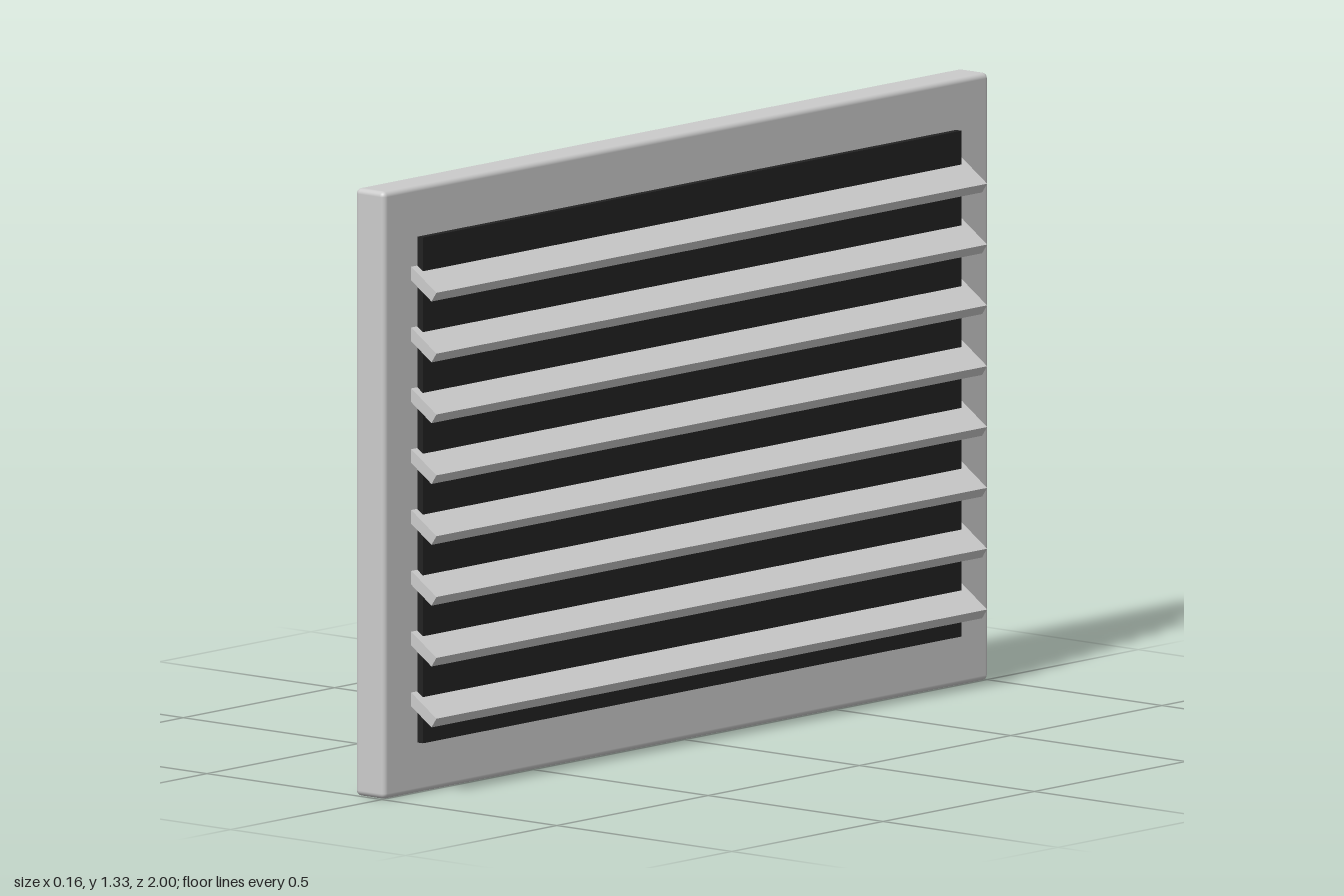
import * as THREE from 'three';
import { RoundedBoxGeometry } from 'three/addons/geometries/RoundedBoxGeometry.js';

export function createModel() {
  const group = new THREE.Group();
  const grey = new THREE.MeshStandardMaterial({ color: 0xcccccc });
  const dark = new THREE.MeshStandardMaterial({ color: 0x222222 });

  const add = (name, geometry, material, x, y) => {
    const mesh = new THREE.Mesh(geometry, material);
    mesh.name = name;
    mesh.position.set(x, y, 0);
    group.add(mesh);
    return mesh;
  };

  // Solid plate with softly rounded edges
  const height = 1.333;
  add('frame', new RoundedBoxGeometry(0.084, height, 2, 3, 0.012), grey, -0.036, height / 2);

  // Dark recess panel, standing slightly proud of the plate
  add('darkPanel', new THREE.BoxGeometry(0.04, 1.11, 1.78), dark, 0.002, height / 2);

  // Eight louvre slats, tilted down and outward
  const slat = new THREE.BoxGeometry(0.12, 0.025, 1.82);
  const count = 8, pitch = 0.1335, firstY = 0.198;
  for (let i = 0; i < count; i++) {
    add(`slat${i + 1}`, slat, grey, 0.0215, firstY + i * pitch).rotation.z = -0.6;
  }

  return group;
}
